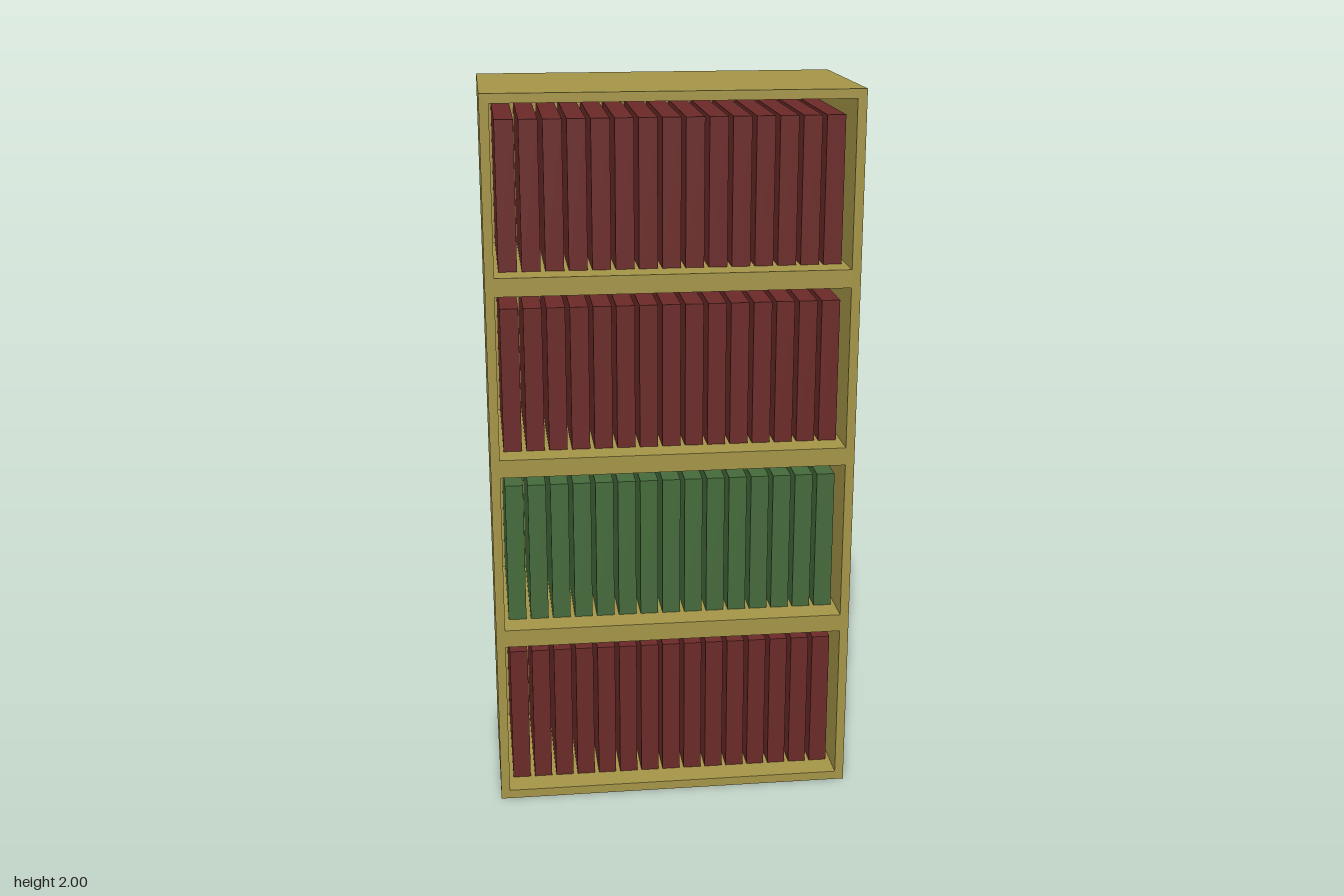
import * as THREE from 'three';

export function createModel() {
  const model = new THREE.Group();
  model.name = 'bookcase';
  const wood = new THREE.MeshStandardMaterial({ color: 0xa69648 });
  const red = new THREE.MeshStandardMaterial({ color: 0x6b2a28 });
  const green = new THREE.MeshStandardMaterial({ color: 0x456b3c });

  const W = 1, H = 2, D = 0.5, T = 0.025; // outer size and board thickness
  const pitch = 0.5, openingHeight = 0.45, shelves = 4;

  const rectangle = (Type, x0, y0, x1, y1) => new Type([
    new THREE.Vector2(x0, y0), new THREE.Vector2(x1, y0),
    new THREE.Vector2(x1, y1), new THREE.Vector2(x0, y1),
  ]);

  // Carcass: sides, top, base and shelves in one piece, with four openings
  const outline = rectangle(THREE.Shape, -W / 2, 0, W / 2, H);
  for (let i = 0; i < shelves; i++) {
    const y = i * pitch + T;
    outline.holes.push(rectangle(THREE.Path, -W / 2 + T, y, W / 2 - T, y + openingHeight));
  }
  const carcass = new THREE.Mesh(
    new THREE.ExtrudeGeometry(outline, { depth: D - T, bevelEnabled: false }), wood);
  carcass.name = 'carcass';
  carcass.position.z = -D / 2 + T;
  model.add(carcass);

  // Back panel closing the openings
  const back = new THREE.Mesh(new THREE.BoxGeometry(W, H, T), wood);
  back.name = 'backPanel';
  back.position.set(0, H / 2, -D / 2 + T / 2);
  model.add(back);

  // Rows of fifteen equal books, standing on each shelf against the back
  const count = 15, bookHeight = 0.4, bookDepth = 0.4;
  const bookGeometry = new THREE.BoxGeometry(0.05, bookHeight, bookDepth);
  [red, green, red, red].forEach((cover, i) => {
    const row = new THREE.Group();
    row.name = `bookRow${i + 1}`;
    row.position.set(0, i * pitch + T + bookHeight / 2, -D / 2 + T + bookDepth / 2);
    for (let j = 0; j < count; j++) {
      const book = new THREE.Mesh(bookGeometry, cover);
      book.name = 'book';
      book.position.x = (j - (count - 1) / 2) * 0.0625;
      row.add(book);
    }
    model.add(row);
  });

  return model;
}
